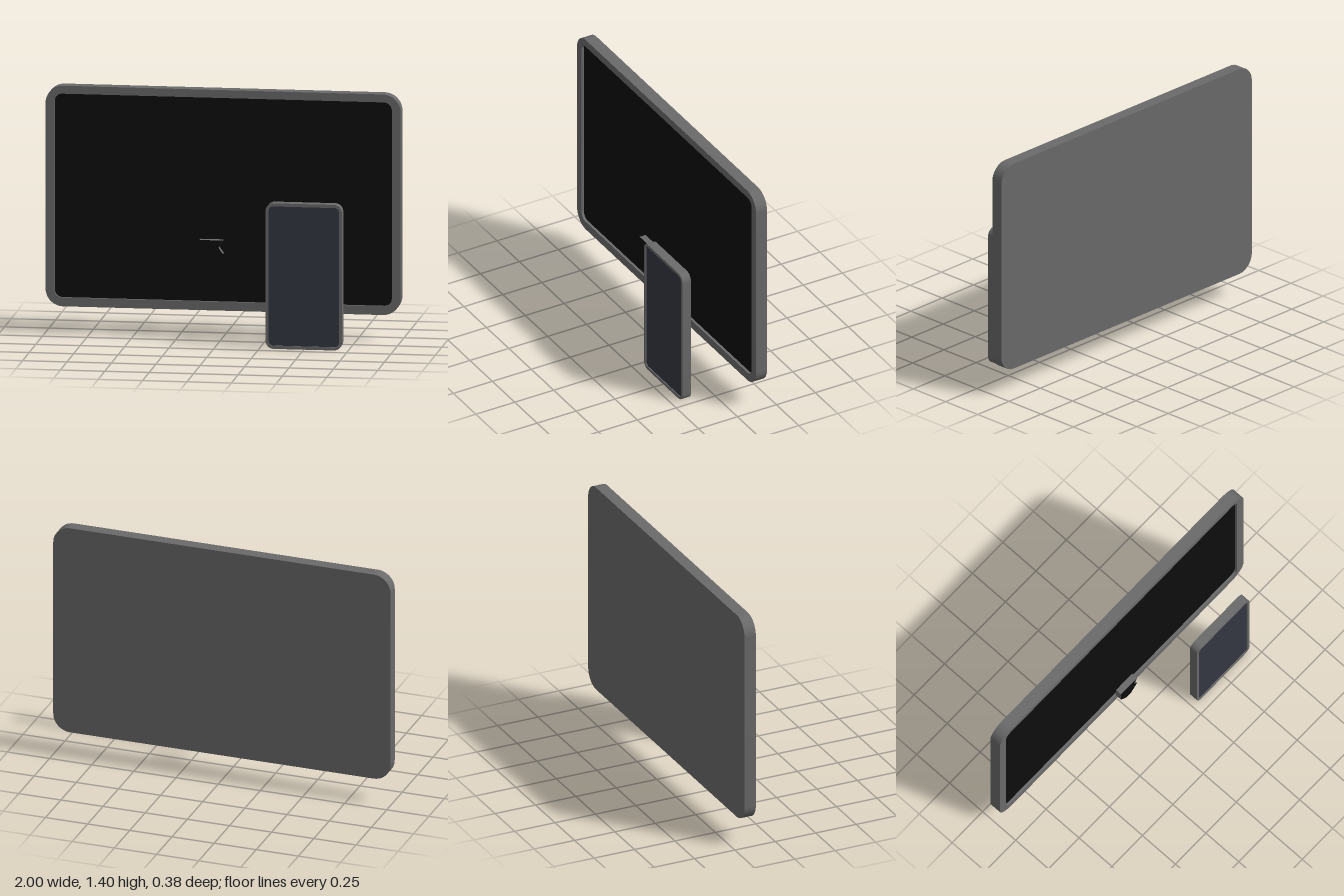
import * as THREE from 'three';
import { toCreasedNormals } from 'three/addons/utils/BufferGeometryUtils.js';

const shell = new THREE.MeshStandardMaterial({ color: 0x6a6a6a });
const black = new THREE.MeshStandardMaterial({ color: 0x0d0d0d });
const slate = new THREE.MeshStandardMaterial({ color: 0x333742 });

// Rounded rectangle from edges, added to a Shape or Path
function roundedRect(target, [x0, x1, y0, y1], r) {
  target.absarc(x1 - r, y0 + r, r, -Math.PI / 2, 0);
  target.absarc(x1 - r, y1 - r, r, 0, Math.PI / 2);
  target.absarc(x0 + r, y1 - r, r, Math.PI / 2, Math.PI);
  target.absarc(x0 + r, y0 + r, r, Math.PI, Math.PI * 1.5);
  target.closePath();
  return target;
}

// Extrude a shape between two z values
function plate(name, shape, zBack, zFront, material) {
  const geometry = new THREE.ExtrudeGeometry(shape, {
    depth: zFront - zBack, bevelEnabled: false, curveSegments: 10,
  });
  geometry.translate(0, 0, zBack);
  const mesh = new THREE.Mesh(toCreasedNormals(geometry, 0.6), material);
  mesh.name = name;
  return mesh;
}

// A flat device: back slab, raised rim and a recessed screen
function device(name, d) {
  const group = new THREE.Group();
  group.name = name;
  const outline = () => roundedRect(new THREE.Shape(), d.outer, d.outerRadius);
  const rim = outline();
  rim.holes.push(roundedRect(new THREE.Path(), d.inner, d.innerRadius));
  const zSeat = d.zFront - d.recess;
  group.add(
    plate(name + 'Back', outline(), d.zBack, zSeat - 0.004, shell),
    plate(name + 'Rim', rim, zSeat - 0.004, d.zFront, shell),
    plate(name + 'Screen', roundedRect(new THREE.Shape(), d.inner, d.innerRadius),
      zSeat - 0.003, zSeat, d.screen),
  );
  return group;
}

export function createModel() {
  const model = new THREE.Group();
  model.name = 'displayAndPhone';

  // Large display
  model.add(device('display', {
    outer: [-1, 1, 0.15, 1.4], outerRadius: 0.1,
    inner: [-0.95, 0.95, 0.2, 1.355], innerRadius: 0.045,
    zBack: -0.19, zFront: -0.12, recess: 0.015, screen: black,
  }));

  // Phone in front
  model.add(device('phone', {
    outer: [0.285, 0.715, 0, 0.825], outerRadius: 0.045,
    inner: [0.302, 0.698, 0.018, 0.807], innerRadius: 0.025,
    zBack: 0.135, zFront: 0.19, recess: 0.006, screen: slate,
  }));

  // Small notched block floating between them: black faces, grey edges
  const outline = [
    [-0.118, 0.567], [-0.118, 0.48], [-0.075, 0.43], [-0.035, 0.43],
    [0.015, 0.49], [-0.01, 0.525], [0.015, 0.567],
  ].map(([x, y]) => new THREE.Vector2(x, y));
  model.add(plate('notchedBlock', new THREE.Shape(outline), -0.053, -0.015, [black, shell]));

  return model;
}
